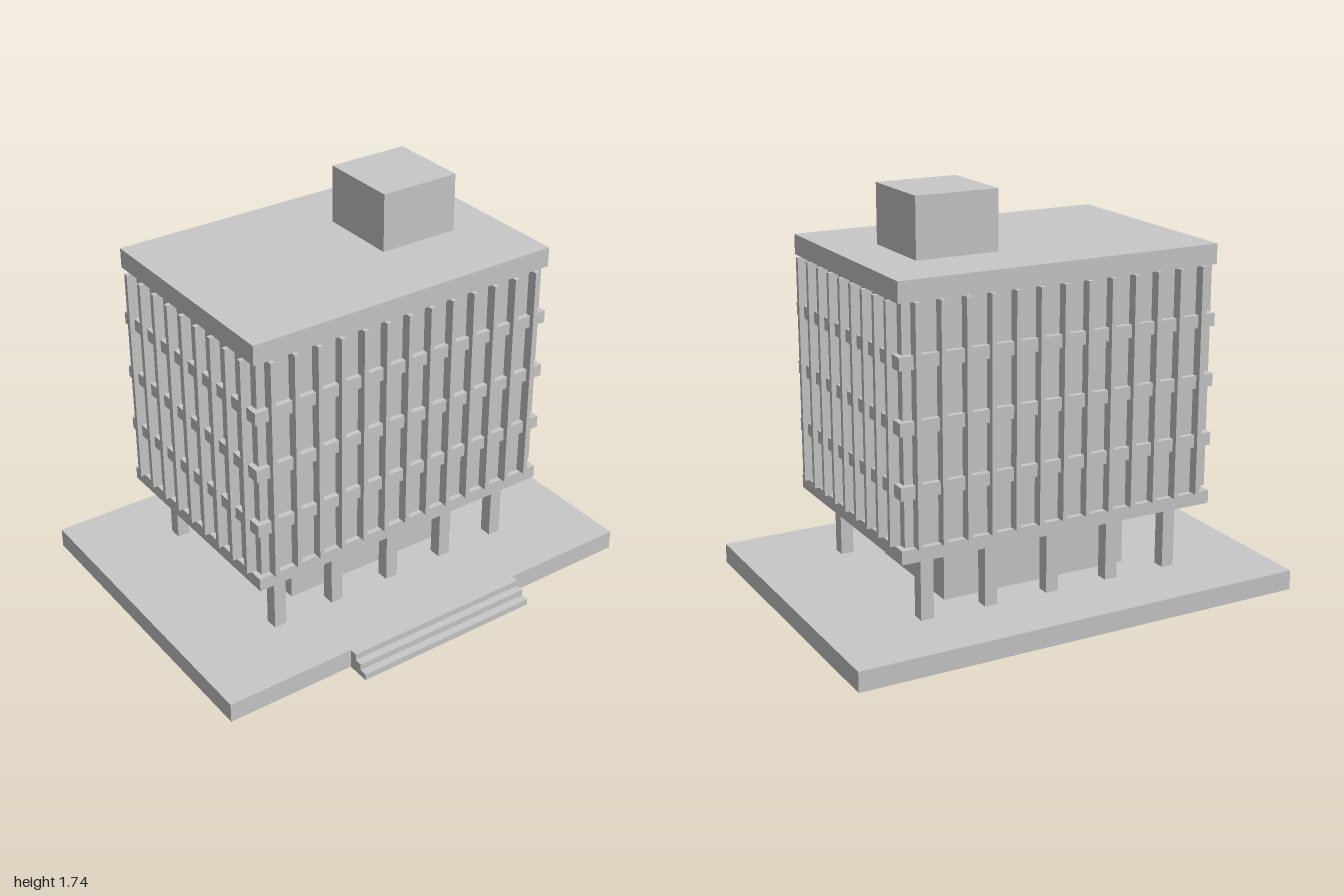
import * as THREE from 'three';

export function createModel() {
  const model = new THREE.Group();
  model.name = 'officeBlock';
  const concrete = new THREE.MeshStandardMaterial({ color: 0xc8c8c8, side: THREE.DoubleSide });
  concrete.name = 'concrete';

  // Box given by its limits on each axis
  function block(name, [x0, x1], [y0, y1], [z0, z1], parent = model) {
    const mesh = new THREE.Mesh(new THREE.BoxGeometry(x1 - x0, y1 - y0, z1 - z0), concrete);
    mesh.name = name;
    mesh.position.set((x0 + x1) / 2, (y0 + y1) / 2, (z0 + z1) / 2);
    parent.add(mesh);
    return mesh;
  }
  // Box without its underside (the fourth face of the geometry)
  function openBlock(...limits) {
    const { geometry } = block(...limits);
    geometry.setIndex(Array.from(geometry.index.array).filter((_, i) => i < 18 || i >= 24));
    geometry.clearGroups();
  }
  function group(name) {
    const g = new THREE.Group();
    g.name = name;
    model.add(g);
    return g;
  }

  const ground = 0.086, soffit = 0.373, floor = 0.43, eaves = 1.402, roof = 1.487;
  const midZ = -0.054, halfX = 0.713, halfZ = 0.499;
  const slabX = [-halfX, halfX], slabZ = [midZ - halfZ, midZ + halfZ];

  // Plinth and entrance steps, hollow and open below
  openBlock('plinth', [-1, 1], [0, ground], [-0.767, 0.664]);
  const steps = group('entranceSteps');
  for (let i = 0; i < 3; i++) {
    const z = 0.767 - i * 0.0343;
    openBlock('step', [-0.427, 0.427], [0, (i + 1) * ground / 3], [z - 0.0343, z], steps);
  }

  // Recessed ground floor and its two rows of columns
  block('groundFloorCore', [-0.427, 0.427], [ground, soffit], [-0.337, 0.233]);
  const columns = group('columns');
  for (const z of [0.338, -0.447]) {
    for (let i = -2; i <= 2; i++) {
      const x = i * 0.285;
      block('column', [x - 0.028, x + 0.028], [ground, soffit], [z - 0.028, z + 0.028], columns);
    }
  }

  // Upper storeys: slabs, recessed walls and floor bands
  block('floorSlab', slabX, [soffit, floor], slabZ);
  const wallX = halfX - 0.023, wallZ = halfZ - 0.023;
  block('upperWalls', [-wallX, wallX], [floor, eaves], [midZ - wallZ, midZ + wallZ]);
  const bands = group('floorBands');
  for (const y of [0.659, 0.915, 1.171]) {
    block('floorBand', slabX, [y - 0.027, y + 0.027], slabZ, bands);
  }

  // Vertical fins around all four facades
  const fins = group('facadeFins');
  const pitch = 0.107, half = 0.01, out = 0.021;
  for (const s of [-1, 1]) {
    const span = (a, b) => (s > 0 ? [a, b] : [-b, -a]);
    const zs = span(wallZ, halfZ + out).map((v) => v + midZ);
    for (let i = -6; i <= 6; i++) {
      block('fin', [i * pitch - half, i * pitch + half], [floor, eaves], zs, fins);
    }
    for (let i = -4; i <= 4; i++) {
      const z = midZ + i * pitch;
      block('sideFin', span(wallX, halfX + out), [floor, eaves], [z - half, z + half], fins);
    }
  }

  // Roof and plant room
  block('roofSlab', slabX, [eaves, roof], slabZ);
  block('plantRoom', [0.139, 0.499], [roof, 1.739], [-0.268, 0.091]);

  return model;
}
